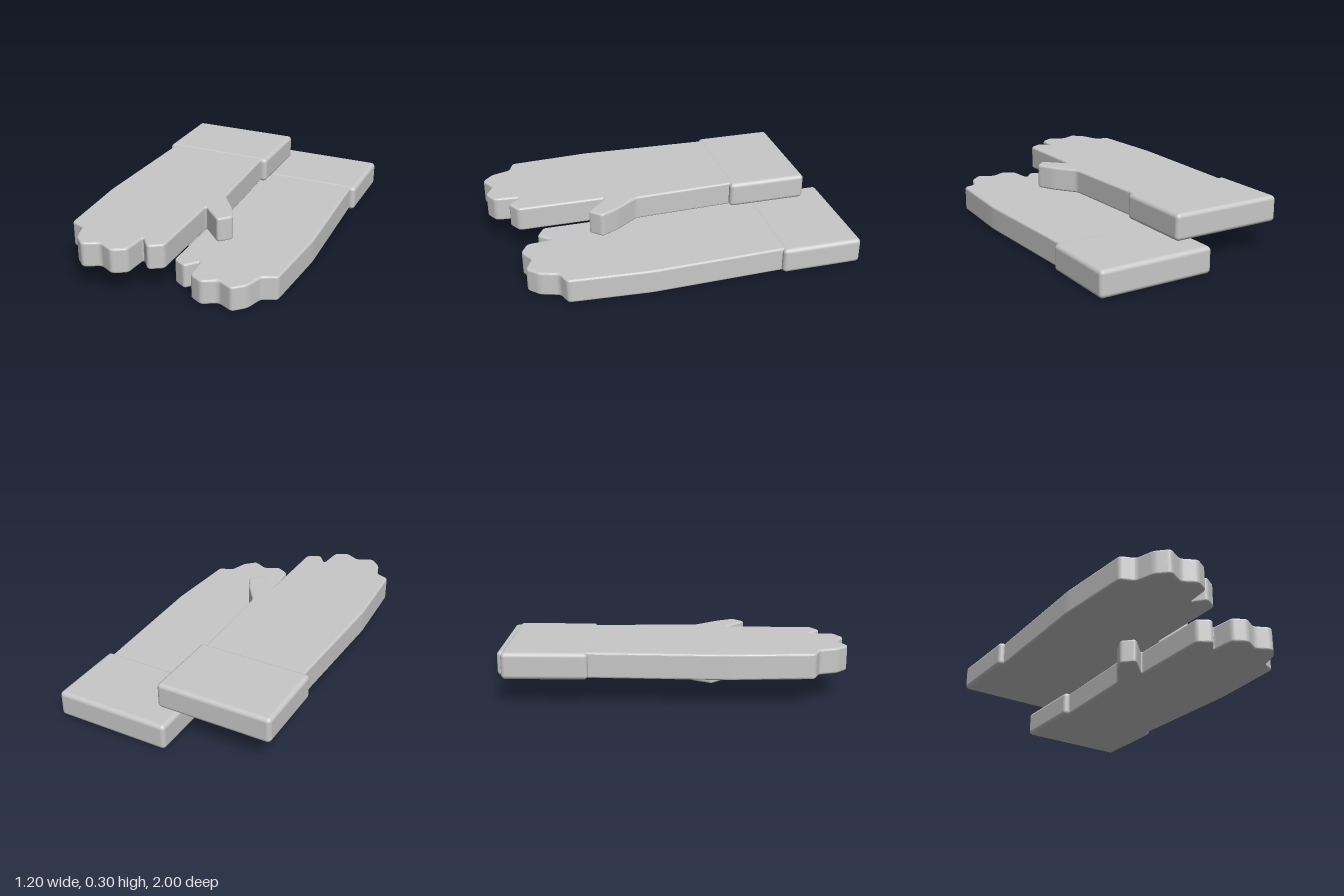
import * as THREE from 'three';
import { RoundedBoxGeometry } from 'three/addons/geometries/RoundedBoxGeometry.js';

// Glove outline (x, z) from the wrist, round the fingers and thumb
const OUTLINE = [
  [-0.565, -0.6], [-0.572, -0.38], [-0.595, 0.35], [-0.567, 0.805], [-0.487, 0.835], [-0.455, 0.94],
  [-0.39, 1.002], [-0.3, 0.957], [-0.218, 1.002], [-0.142, 0.96], [-0.13, 0.815],
  [-0.07, 0.89], [0.007, 0.845], [0.007, 0.345], [0.13, 0.468], [0.195, 0.4],
  [0.145, 0.3], [0.05, 0.17], [0.028, -0.42], [0.022, -0.6],
];
const THICKNESS = 0.142, BEVEL = 0.012, CORNER = 0.02;

// Closed shape whose corners are softened with short curves
function softShape(points) {
  const pts = points.map(([x, y]) => new THREE.Vector2(x, y));
  const toward = (a, b) => a.clone().add(b.clone().sub(a).setLength(CORNER));
  const shape = new THREE.Shape();
  pts.forEach((p, i) => {
    const start = toward(p, pts[(i + pts.length - 1) % pts.length]);
    const end = toward(p, pts[(i + 1) % pts.length]);
    if (i === 0) shape.moveTo(start.x, start.y);
    else shape.lineTo(start.x, start.y);
    shape.quadraticCurveTo(p.x, p.y, end.x, end.y);
  });
  shape.closePath();
  return shape;
}

// One glove; side -1 mirrors it
function makeGlove(name, side, material) {
  const glove = new THREE.Group();
  glove.name = name;

  // Hand with fingers and thumb
  const depth = THICKNESS - 2 * BEVEL;
  const handGeometry = new THREE.ExtrudeGeometry(
    softShape(OUTLINE.map(([x, z]) => [x * side, z])),
    { depth, bevelThickness: BEVEL, bevelSize: BEVEL, bevelOffset: -BEVEL, bevelSegments: 4, curveSegments: 5 },
  );
  handGeometry.rotateX(Math.PI / 2).translate(0, depth / 2, 0);
  const hand = new THREE.Mesh(handGeometry, material);
  hand.name = 'hand';

  // Cuff around the wrist
  const cuff = new THREE.Mesh(new RoundedBoxGeometry(0.664, 0.148, 0.463, 4, 0.024), material);
  cuff.name = 'cuff';
  cuff.position.set(-0.27 * side, 0, -0.634);

  glove.add(hand, cuff);
  return glove;
}

export function createModel() {
  const fabric = new THREE.MeshStandardMaterial({ color: 0xc8c8c8 });
  fabric.name = 'grey fabric';

  const model = new THREE.Group();
  model.name = 'pairOfGloves';
  const upper = makeGlove('upperGlove', 1, fabric);
  upper.position.set(0, 0.224, 0);
  const lower = makeGlove('lowerGlove', -1, fabric);
  lower.position.set(0, 0.074, -0.134);
  model.add(upper, lower);
  return model;
}
